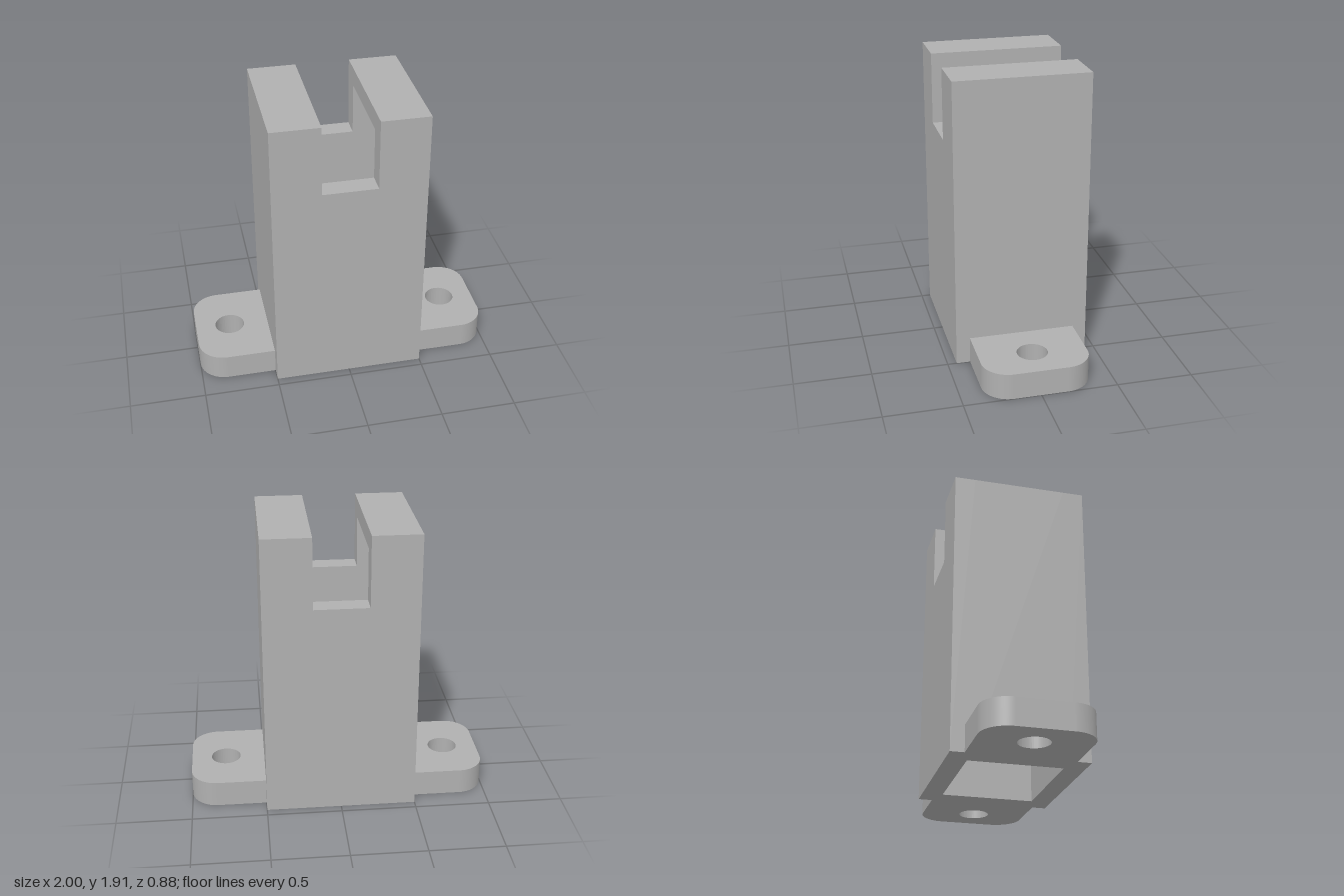
import * as THREE from 'three';

const HEIGHT = 1.915, HALF_W = 0.5, HALF_D = 0.44;   // tower
const SLOT_X = 0.18, SLOT_Y = 1.445;                 // notch through front and back
const CAV_X = 0.36, CAV_Z = 0.305, CAV_Y = 1.79;     // hollow, open at the bottom
const FOOT_H = 0.175, FOOT_Z = 0.35, FOOT_R = 0.175; // mounting feet
const HOLE_X = 0.765, HOLE_R = 0.1;

const shapeOf = (points) => new THREE.Shape(points.map(([x, y]) => new THREE.Vector2(x, y)));

// Extrudes an x-y outline from z0 to z1
function slab(shape, z0, z1) {
  const geometry = new THREE.ExtrudeGeometry(shape, { depth: z1 - z0, bevelEnabled: false });
  return geometry.translate(0, 0, z0);
}

export function createModel() {
  const model = new THREE.Group();
  model.name = 'slottedBracket';
  const grey = new THREE.MeshStandardMaterial({ color: 0xb0b0b0 });
  grey.name = 'plain grey';

  const add = (name, geometry) => {
    const mesh = new THREE.Mesh(geometry, grey);
    mesh.name = name;
    model.add(mesh);
    return mesh;
  };

  // Notched front and back walls
  const wall = shapeOf([
    [-HALF_W, 0], [HALF_W, 0], [HALF_W, HEIGHT], [SLOT_X, HEIGHT],
    [SLOT_X, SLOT_Y], [-SLOT_X, SLOT_Y], [-SLOT_X, HEIGHT], [-HALF_W, HEIGHT],
  ]);
  add('frontWall', slab(wall, CAV_Z, HALF_D));
  add('backWall', slab(wall, -HALF_D, -CAV_Z));

  for (const [side, s] of [['left', 1], ['right', -1]]) {
    // Side wall with the roof ledge that overhangs the hollow
    const section = shapeOf([
      [s * CAV_X, 0], [s * HALF_W, 0], [s * HALF_W, HEIGHT],
      [s * SLOT_X, HEIGHT], [s * SLOT_X, CAV_Y], [s * CAV_X, CAV_Y],
    ]);
    add(side + 'WallAndRoof', slab(section, -CAV_Z, CAV_Z));

    // Foot with rounded outer corners and a bolt hole
    const foot = new THREE.Shape();
    foot.moveTo(HALF_W, -FOOT_Z);
    foot.lineTo(1 - FOOT_R, -FOOT_Z);
    foot.absarc(1 - FOOT_R, -FOOT_Z + FOOT_R, FOOT_R, -Math.PI / 2, 0, false);
    foot.absarc(1 - FOOT_R, FOOT_Z - FOOT_R, FOOT_R, 0, Math.PI / 2, false);
    foot.lineTo(HALF_W, FOOT_Z);
    foot.closePath();
    const hole = new THREE.Path();
    hole.absarc(HOLE_X, 0, HOLE_R, 0, Math.PI * 2, true);
    foot.holes.push(hole);
    const geometry = new THREE.ExtrudeGeometry(foot, { depth: FOOT_H, bevelEnabled: false, curveSegments: 24 });
    geometry.rotateX(-Math.PI / 2);
    if (s < 0) geometry.rotateY(Math.PI);
    add(side + 'Foot', geometry);
  }
  return model;
}
